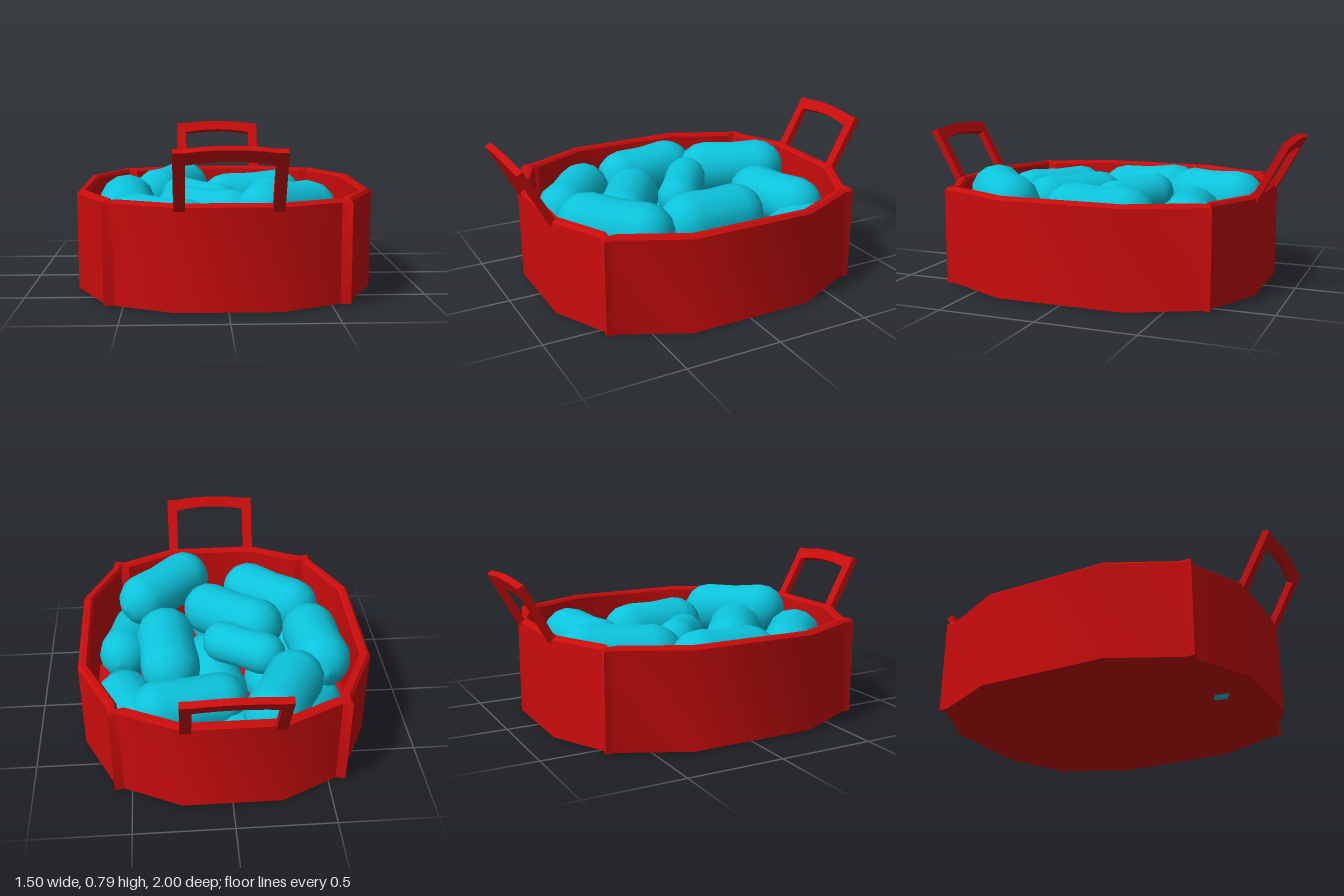
import * as THREE from 'three';
import { toCreasedNormals } from 'three/addons/utils/BufferGeometryUtils.js';

const red = new THREE.MeshStandardMaterial({ color: 0xcc0c0c });
const cyan = new THREE.MeshStandardMaterial({ color: 0x0cc4dc });

// Quarter of the tub outline (x, z), mirrored into a closed loop
const quarter = [[0.75, 0.33], [0.59, 0.66], [0.59, 0.71], [0.54, 0.7], [0.25, 0.84]];
const flip = (pts, sx, sz) => pts.map(([x, z]) => [x * sx, z * sz]);
const back = [...quarter].reverse();
const outline = [...quarter, ...flip(back, -1, 1), ...flip(quarter, -1, -1), ...flip(back, 1, -1)];

// Skin a stack of outline loops, each given as [inset, height]; null inset is the centre
function tubGeometry(levels) {
  const pos = [];
  const point = (level, i) => {
    const [inset, y] = level;
    const [x, z] = outline[i % outline.length];
    return inset === null ? [0, y, 0] : [x * (1 - inset / 0.75), y, z * (1 - inset / 0.84)];
  };
  for (let l = 0; l < levels.length - 1; l++) {
    const lo = levels[l], up = levels[l + 1];
    for (let i = 0; i < outline.length; i++) {
      if (up[0] !== null) pos.push(...point(lo, i), ...point(up, i), ...point(up, i + 1));
      if (lo[0] !== null) pos.push(...point(lo, i), ...point(up, i + 1), ...point(lo, i + 1));
    }
  }
  const geo = new THREE.BufferGeometry();
  geo.setAttribute('position', new THREE.Float32BufferAttribute(pos, 3));
  return toCreasedNormals(geo, 0.6);
}

// U-shaped handle with a gently bowed grip
function handleGeometry() {
  const s = new THREE.Shape();
  s.moveTo(-0.255, 0);
  s.lineTo(-0.255, 0.32);
  s.lineTo(-0.2, 0.32);
  s.quadraticCurveTo(0, 0.35, 0.2, 0.32);
  s.lineTo(0.255, 0.32);
  s.lineTo(0.255, 0);
  s.lineTo(0.2, 0);
  s.lineTo(0.2, 0.255);
  s.quadraticCurveTo(0, 0.295, -0.2, 0.255);
  s.lineTo(-0.2, 0);
  return new THREE.ExtrudeGeometry(s, { depth: 0.035, bevelEnabled: false, curveSegments: 6 });
}

// Capsule with rounded ends and a slight waist
function pillGeometry(length, r) {
  const half = length / 2 - r, pts = [];
  for (let i = 0; i <= 4; i++) {
    const a = (i / 4) * Math.PI / 2;
    pts.push(new THREE.Vector2(Math.sin(a) * r, -half - Math.cos(a) * r));
  }
  pts.push(new THREE.Vector2(r * 0.95, 0));
  for (let i = 4; i >= 0; i--) pts.push(new THREE.Vector2(pts[i].x, -pts[i].y));
  return new THREE.LatheGeometry(pts, 14);
}

// [x, y, z, direction x, y, z, length, radius]
const upperPills = [
  [-0.29, 0.4, -0.49, 0.22, 0.02, -0.45, 0.62, 0.155],
  [0.19, 0.37, -0.49, 1, 0.05, -0.2, 0.6, 0.145],
  [-0.52, 0.375, -0.03, 0.08, -0.05, 1, 0.6, 0.155],
  [-0.12, 0.4, -0.07, 0.28, -0.03, 0.21, 0.49, 0.115],
  [0.29, 0.37, -0.03, 0.07, 0.03, 1, 0.6, 0.16],
  [-0.09, 0.37, 0.28, 0.36, 0, 0.25, 0.61, 0.15],
  [-0.33, 0.36, 0.5, 0.32, 0, 0.27, 0.61, 0.15],
  [0.295, 0.43, 0.52, 0.31, -0.02, -0.28, 0.61, 0.15],
];
const lowerPills = [
  [0.475, 0.25, -0.375, 0.16, -0.1, 0.44, 0.62, 0.155],
  [0.5, 0.18, 0.36, 0.1, 0.05, -0.43, 0.62, 0.145],
  [-0.05, 0.16, 0.57, 0.2, 0.03, -0.42, 0.45, 0.155],
  [0.04, 0.18, -0.03, 0.1, 0.06, 0.5, 0.58, 0.155],
  [-0.3, 0.17, -0.13, 0.15, 0.04, 0.4, 0.45, 0.15],
  [-0.44, 0.17, -0.33, 0.2, 0.04, -0.25, 0.45, 0.15],
  [-0.47, 0.17, 0.13, 0.35, 0.05, 0.15, 0.4, 0.15],
  [0.04, 0.2, -0.53, 0.4, -0.08, 0.22, 0.5, 0.15],
];

export function createModel() {
  const model = new THREE.Group();
  model.name = 'pillTub';

  // Tub: base, outer wall, chamfered rim, inner wall, floor
  const tub = new THREE.Mesh(tubGeometry([
    [null, 0.01], [0, 0.01], [0, 0.5], [0.015, 0.515], [0.04, 0.515],
    [0.052, 0.5], [0.052, 0.03], [null, 0.03],
  ]), red);
  tub.name = 'tub';
  model.add(tub);

  // Handles leaning outward at the front and back
  for (const [name, turn] of [['frontHandle', 0], ['backHandle', Math.PI]]) {
    const handle = new THREE.Group();
    handle.name = name;
    const bar = new THREE.Mesh(handleGeometry(), red);
    bar.name = name + 'Frame';
    bar.position.set(0, 0.498, 0.81);
    bar.rotation.x = 0.5;
    handle.add(bar);
    handle.rotation.y = turn;
    model.add(handle);
  }

  // Two loose layers of pills
  const up = new THREE.Vector3(0, 1, 0);
  for (const [name, list] of [['upperPill', upperPills], ['lowerPill', lowerPills]]) {
    list.forEach(([x, y, z, dx, dy, dz, length, r], i) => {
      const pill = new THREE.Mesh(pillGeometry(length, r), cyan);
      pill.name = name + (i + 1);
      pill.position.set(x, y, z);
      pill.quaternion.setFromUnitVectors(up, new THREE.Vector3(dx, dy, dz).normalize());
      model.add(pill);
    });
  }
  return model;
}
